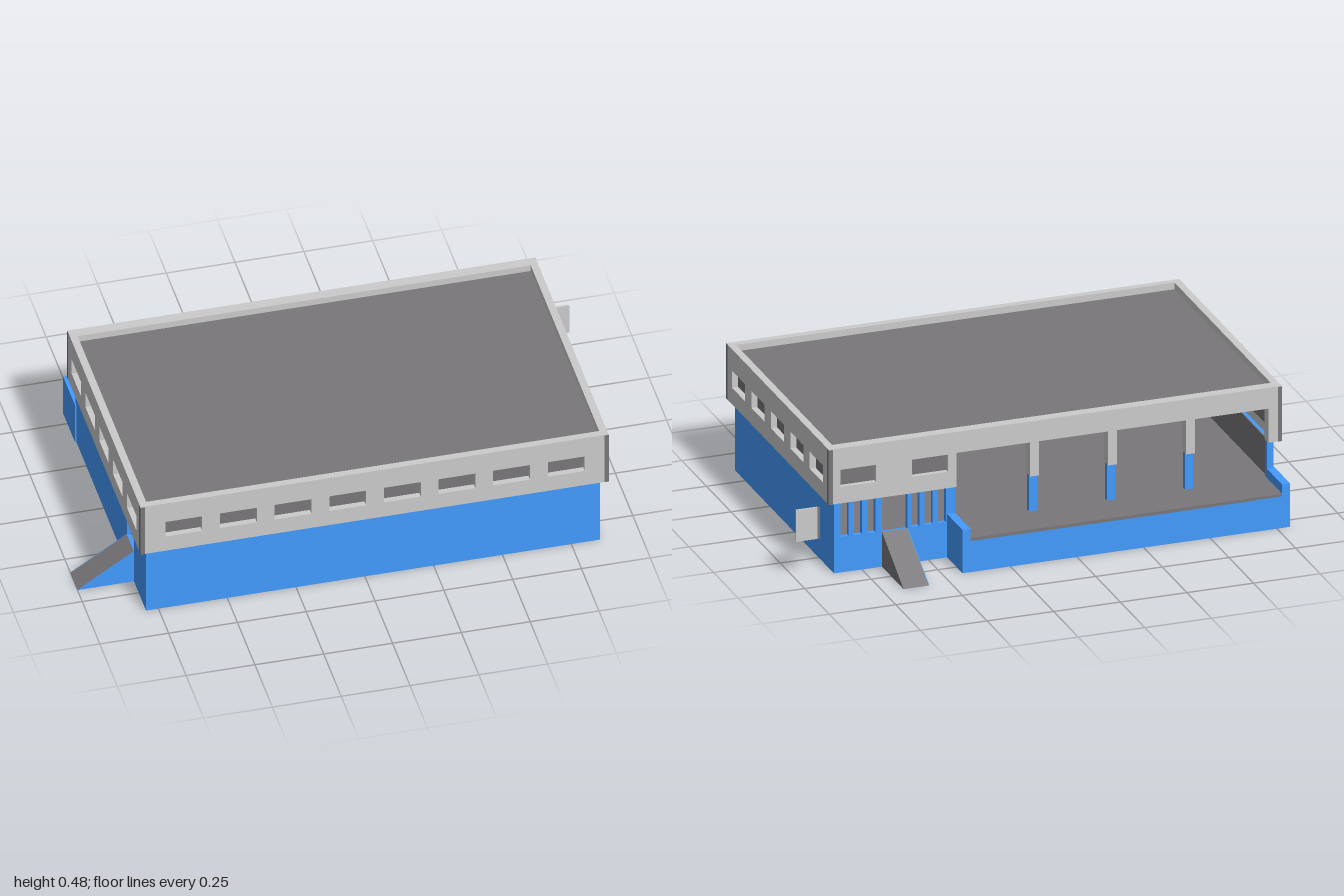
import * as THREE from 'three';

export function createModel() {
  const model = new THREE.Group();
  const grey = new THREE.MeshStandardMaterial({ color: 0xcccccc });
  const dark = new THREE.MeshStandardMaterial({ color: 0x79777a });
  const blue = new THREE.MeshStandardMaterial({ color: 0x439bff });

  function add(name, geometry, material, parent = model) {
    const mesh = new THREE.Mesh(geometry, material);
    mesh.name = name;
    parent.add(mesh);
    return mesh;
  }
  // Box given by its limits on each axis
  function box(name, x0, x1, y0, y1, z0, z1, material) {
    const mesh = add(name, new THREE.BoxGeometry(x1 - x0, y1 - y0, z1 - z0), material);
    mesh.position.set((x0 + x1) / 2, (y0 + y1) / 2, (z0 + z1) / 2);
    return mesh;
  }
  const rect = (x0, x1, y0, y1) => [[x0, y0], [x1, y0], [x1, y1], [x0, y1]];
  const points = (list) => list.map(([x, y]) => new THREE.Vector2(x, y));
  // Upright wall panel with cut-outs
  function wall(name, outline, holes, depth, material) {
    const shape = new THREE.Shape(points(outline));
    holes.forEach((h) => shape.holes.push(new THREE.Path(points(h))));
    return add(name, new THREE.ExtrudeGeometry(shape, { depth, bevelEnabled: false }), material);
  }
  // Turn a panel to run along z, its thickness reaching from x toward -x
  function turnSide(mesh, x) {
    mesh.rotation.y = -Math.PI / 2;
    mesh.position.x = x;
  }

  const FLOOR = 0.13, MID = 0.27, TOP = 0.48;
  const windowRect = (c) => rect(c - 0.067, c + 0.067, 0.333, 0.398);

  // Upper storey: front and back walls
  const frontWindows = Array.from({ length: 8 }, (_, i) => windowRect(-0.663 + i * 0.1985));
  wall('upperFrontWall', rect(-0.82, 0.88, MID, TOP), frontWindows, 0.027, grey).position.z = 0.598;
  const backOutline = [[0.40, MID], [0.88, MID], [0.88, TOP], [-0.82, TOP],
    [-0.82, MID], [-0.77, MID], [-0.77, 0.40], [0.40, 0.40]];
  wall('upperBackWall', backOutline, [0.50, 0.77].map(windowRect), 0.04, grey).position.z = -0.42;

  // Upper storey: side walls
  const sideWindows = Array.from({ length: 5 }, (_, i) => windowRect(-0.293 + i * 0.198));
  for (const [name, x] of [['upperRightWall', 0.88], ['upperLeftWall', -0.793]]) {
    turnSide(wall(name, rect(-0.38, 0.598, MID, TOP), sideWindows, 0.027, grey), x);
  }

  // Recessed window panes
  box('frontPanes', -0.79, 0.85, 0.31, 0.42, 0.594, 0.602, dark);
  box('backPanes', 0.415, 0.85, 0.31, 0.42, -0.402, -0.376, dark);
  box('rightPanes', 0.848, 0.857, 0.31, 0.42, -0.38, 0.595, dark);
  box('leftPanes', -0.797, -0.788, 0.31, 0.42, -0.38, 0.595, dark);

  // Corner trims
  for (const x of [-0.813, 0.873]) {
    for (const z of [-0.413, 0.618]) {
      box('cornerTrim', x - 0.008, x + 0.008, MID, TOP - 0.002, z - 0.008, z + 0.008, dark);
    }
  }

  // Roof and floor slabs
  box('roof', -0.794, 0.854, 0.44, 0.455, -0.381, 0.6, dark);
  box('floor', -0.785, 0.845, FLOOR - 0.012, FLOOR, -0.386, 0.595, dark);

  // Lower storey walls
  box('lowerFrontWall', -0.795, 0.855, 0, MID, 0.59, 0.605, blue);
  box('lowerRightWall', 0.84, 0.855, 0, MID, -0.39, 0.59, blue);
  const sideDoor = rect(0.33, 0.43, FLOOR, MID - 0.002);
  turnSide(wall('lowerLeftWall', rect(-0.39, 0.59, 0, MID), [sideDoor], 0.015, blue), -0.78);

  // Inner linings
  box('frontLining', -0.78, 0.84, 0, MID, 0.586, 0.59, dark);
  box('rightLining', 0.836, 0.84, 0, MID, -0.388, 0.586, dark);
  turnSide(wall('leftLining', rect(-0.388, 0.586, 0, MID), [sideDoor], 0.004, dark), -0.776);

  // Lower back wall: entrance flanked by narrow slots
  const slots = [0.815, 0.765, 0.715, 0.55, 0.50, 0.45]
    .map((c) => rect(c - 0.015, c + 0.015, FLOOR + 0.005, MID - 0.002));
  const entrance = rect(0.58, 0.675, FLOOR, MID - 0.002);
  wall('lowerBackWall', rect(0.40, 0.855, 0, MID), [entrance, ...slots], 0.018, blue).position.z = -0.405;
  box('lowerBackCorner', -0.795, -0.77, 0, MID, -0.405, -0.387, blue);

  // Dock columns
  for (let i = 1; i < 4; i++) {
    const x = -0.77 + i * 0.2925;
    box('upperColumn', x - 0.017, x + 0.017, MID, 0.40, -0.42, -0.38, grey);
    box('lowerColumn', x - 0.015, x + 0.015, FLOOR, MID, -0.405, -0.385, blue);
  }

  // Loading dock
  box('dockFloor', -0.77, 0.40, FLOOR - 0.012, FLOOR, -0.56, -0.386, dark);
  box('dockFront', -0.77, 0.40, 0, FLOOR - 0.001, -0.56, -0.55, blue);
  box('dockLeftCurb', 0.40, 0.43, 0, 0.165, -0.56, -0.405, blue);
  box('dockRightCurb', -0.80, -0.77, 0, 0.165, -0.56, -0.39, blue);

  // Wedge ramps with coloured cheeks
  function ramp(name, run, width, cheeks) {
    const group = new THREE.Group();
    group.name = name;
    const wedge = (depth) => new THREE.ExtrudeGeometry(
      new THREE.Shape(points([[0, 0], [run, 0], [0, FLOOR + 0.003]])), { depth, bevelEnabled: false });
    add('rampBody', wedge(width), dark, group);
    cheeks.forEach((z) => { add('rampCheek', wedge(0.002), blue, group).position.z = z; });
    model.add(group);
    return group;
  }
  const sideRamp = ramp('sideRamp', 0.205, 0.1, [-0.002, 0.1]);
  sideRamp.rotation.y = Math.PI;
  sideRamp.position.set(-0.795, 0, 0.43);
  const backRamp = ramp('backRamp', 0.22, 0.095, [-0.002]);
  backRamp.rotation.y = Math.PI / 2;
  backRamp.position.set(0.58, 0, -0.405);

  // Detached panel beside the building
  box('sidePanel', 0.917, 0.997, 0.14, 0.26, -0.404, -0.396, grey);
  box('sidePanelEdge', 0.907, 0.917, 0.14, 0.26, -0.404, -0.396, dark);

  return model;
}
